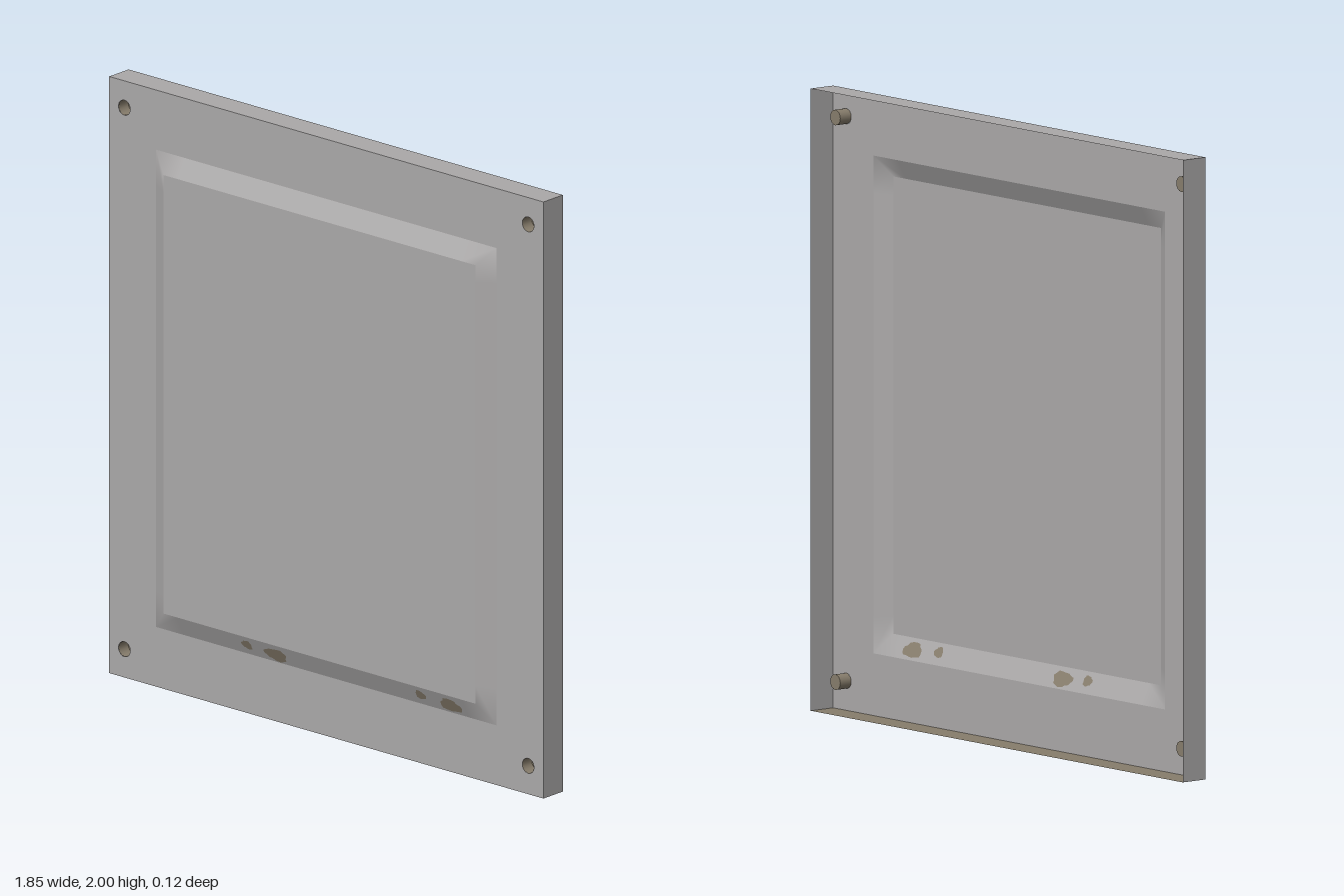
import * as THREE from 'three';

const W = 0.925, FRONT = 0.03, BACK = -0.0625, RAISED = 0.0625;

// Point loop around a rectangle, with extra points near each corner
function rectLoop(hx, y0, y1, z, d) {
  const c = [[-hx, y0], [hx, y0], [hx, y1], [-hx, y1]];
  const out = [];
  c.forEach((a, i) => {
    const b = c[(i + 1) % 4];
    const ux = Math.sign(b[0] - a[0]) * d, uy = Math.sign(b[1] - a[1]) * d;
    out.push(a[0], a[1], z, a[0] + ux, a[1] + uy, z, b[0] - ux, b[1] - uy, z);
  });
  return out;
}

// Sloped band between two loops, softened only at the mitres
function band(outer, inner) {
  const n = outer.length / 3, index = [];
  for (let i = 0; i < n; i++) {
    const j = (i + 1) % n;
    index.push(i, j, n + j, i, n + j, n + i);
  }
  const g = new THREE.BufferGeometry();
  g.setAttribute('position', new THREE.Float32BufferAttribute([...outer, ...inner], 3));
  g.setIndex(index);
  g.computeVertexNormals();
  return g;
}

function rectPath(path, hx, y0, y1) {
  path.moveTo(-hx, y0);
  path.lineTo(hx, y0);
  path.lineTo(hx, y1);
  path.lineTo(-hx, y1);
  path.closePath();
  return path;
}

export function createModel() {
  const root = new THREE.Group();
  root.name = 'pressedPanel';
  const steel = new THREE.MeshStandardMaterial({ color: 0xaaa8a8, side: THREE.DoubleSide });
  steel.name = 'grey steel';
  const rust = new THREE.MeshStandardMaterial({ color: 0x877d6c, side: THREE.DoubleSide });
  rust.name = 'rusty brown';

  function add(name, geometry, material, x = 0, y = 0, z = 0) {
    const m = new THREE.Mesh(geometry, material);
    m.name = name;
    m.position.set(x, y, z);
    root.add(m);
    return m;
  }

  // Flat border with the raised field and the four corner holes cut out
  const corners = [[-0.86, 0.095], [0.86, 0.095], [0.86, 1.91], [-0.86, 1.91]];
  const border = rectPath(new THREE.Shape(), W, 0, 2);
  border.holes.push(rectPath(new THREE.Path(), 0.725, 0.2, 1.8));
  for (const [x, y] of corners) {
    border.holes.push(new THREE.Path().absarc(x, y, 0.025, 0, Math.PI * 2, true));
  }
  add('border', new THREE.ShapeGeometry(border, 12), steel, 0, 0, FRONT);

  // Raised field and its bevel
  add('bevel', band(rectLoop(0.725, 0.2, 1.8, FRONT, 0.12),
    rectLoop(0.665, 0.267, 1.737, RAISED, 0.06)), steel);
  add('raisedField', new THREE.PlaneGeometry(1.33, 1.47), steel, 0, 1.002, RAISED);

  // Folded flanges around the edge, open at the back
  const depth = FRONT - BACK, midZ = (FRONT + BACK) / 2;
  for (const s of [-1, 1]) {
    add(s > 0 ? 'leftFlange' : 'rightFlange', new THREE.PlaneGeometry(depth, 2), steel,
      s * W, 1, midZ).rotation.y = s * Math.PI / 2;
    add(s > 0 ? 'topFlange' : 'bottomFlange', new THREE.PlaneGeometry(2 * W, depth),
      s > 0 ? steel : rust, 0, 1 + s, midZ).rotation.x = -s * Math.PI / 2;
  }

  // Hollow fastener cups pressed through the border
  const cupDepth = 0.045;
  const wall = new THREE.CylinderGeometry(0.025, 0.025, cupDepth, 16, 1, true).rotateX(Math.PI / 2);
  const floor = new THREE.CircleGeometry(0.025, 16);
  for (const [x, y] of corners) {
    add('cupWall', wall, rust, x, y, FRONT - cupDepth / 2);
    add('cupFloor', floor, rust, x, y, FRONT - cupDepth);
  }

  // Rust spots on both sides of the lower bevel
  const tilt = Math.atan2(RAISED - FRONT, 0.067);
  const spots = [[-0.32, 0.238, 0.024, 0.018], [-0.2, 0.23, 0.052, 0.026],
    [0.42, 0.238, 0.024, 0.018], [0.545, 0.23, 0.05, 0.026]];
  for (const [x, y, rx, ry] of spots) {
    const pts = [];
    for (let i = 0; i < 18; i++) {
      const a = i / 18 * Math.PI * 2;
      const r = 0.9 + 0.1 * Math.sin(3 * a + x * 5) + 0.06 * Math.sin(7 * a);
      pts.push(new THREE.Vector2(Math.cos(a) * rx * r, Math.sin(a) * ry * r / Math.cos(tilt)));
    }
    const spot = new THREE.ShapeGeometry(new THREE.Shape(pts));
    const z = FRONT + (y - 0.2) * Math.tan(tilt);
    for (const off of [-0.002, 0.002]) {
      add('rustSpot', spot, rust, x, y - off * Math.sin(tilt), z + off * Math.cos(tilt)).rotation.x = tilt;
    }
  }
  return root;
}
